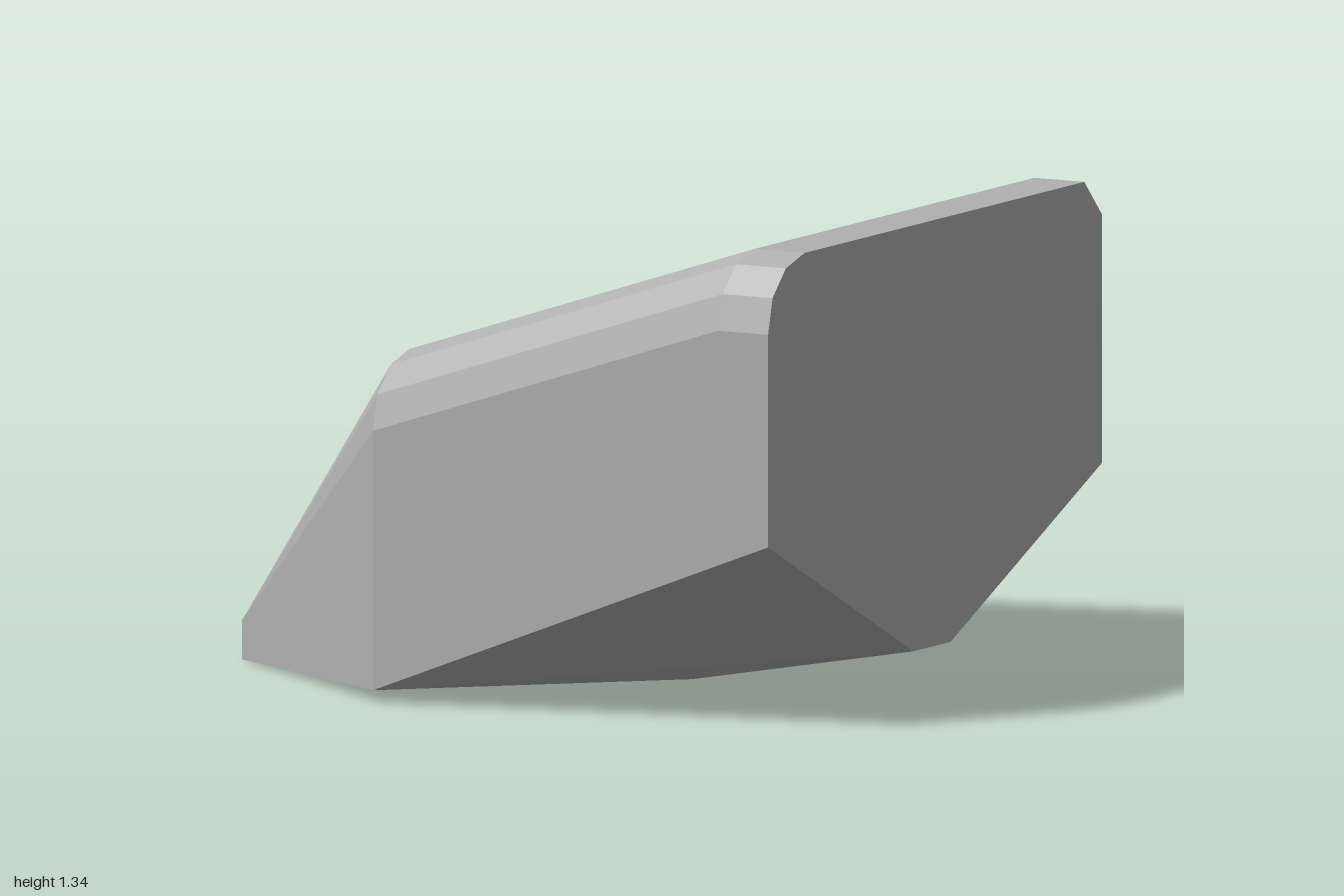
import * as THREE from 'three';
import { ConvexGeometry } from 'three/addons/geometries/ConvexGeometry.js';

export function createModel() {
  const stone = new THREE.MeshStandardMaterial({ color: 0xb0b0b0 });
  stone.name = 'stone grey';
  const points = [];
  const add = (x, y, z) => points.push(new THREE.Vector3(x, y, z));

  // Shoulder rails: level at the tall end, then falling along the roof slope
  const SLOPE = 0.327, BEND = 0.84;
  const rail = (y, z, xEnd) => {
    add(1, y, z);
    add(BEND, y, z);
    add(xEnd, y - SLOPE * (BEND - xEnd), z);
  };
  // Rounded front shoulder
  for (const [y, z] of [[1.13, 0.94], [1.23, 0.915], [1.305, 0.84], [1.335, 0.735]]) rail(y, z, -0.27);
  // Chamfered back shoulder
  rail(1.335, -0.84, -0.4);
  rail(1.23, -0.94, -0.34);
  // Front end of the brow where the roof turns down
  add(-0.4, 1.335 - SLOPE * (BEND + 0.4), 0.4);

  // Low nose
  add(-1, 0.11, 0.4);
  add(-1, 0, 0.4);
  add(-1, 0.11, -0.84);
  add(-1, 0, -0.91);
  add(-0.955, 0, -0.94);

  // Underside: flat foot, raised corners and a keel rising to the tall end
  add(-0.27, 0.035, 0.94);
  add(-0.27, 0, 0.4);
  add(-0.27, 0.005, -0.94);
  for (const s of [1, -1]) {
    add(1, 0.53, 0.94 * s);
    add(0.99, 0.13, 0.105 * s);
    add(0.28, 0, 0.105 * s);
  }

  const rock = new THREE.Mesh(new ConvexGeometry(points), stone);
  rock.name = 'rockBody';
  const group = new THREE.Group();
  group.name = 'rock';
  group.add(rock);
  return group;
}
